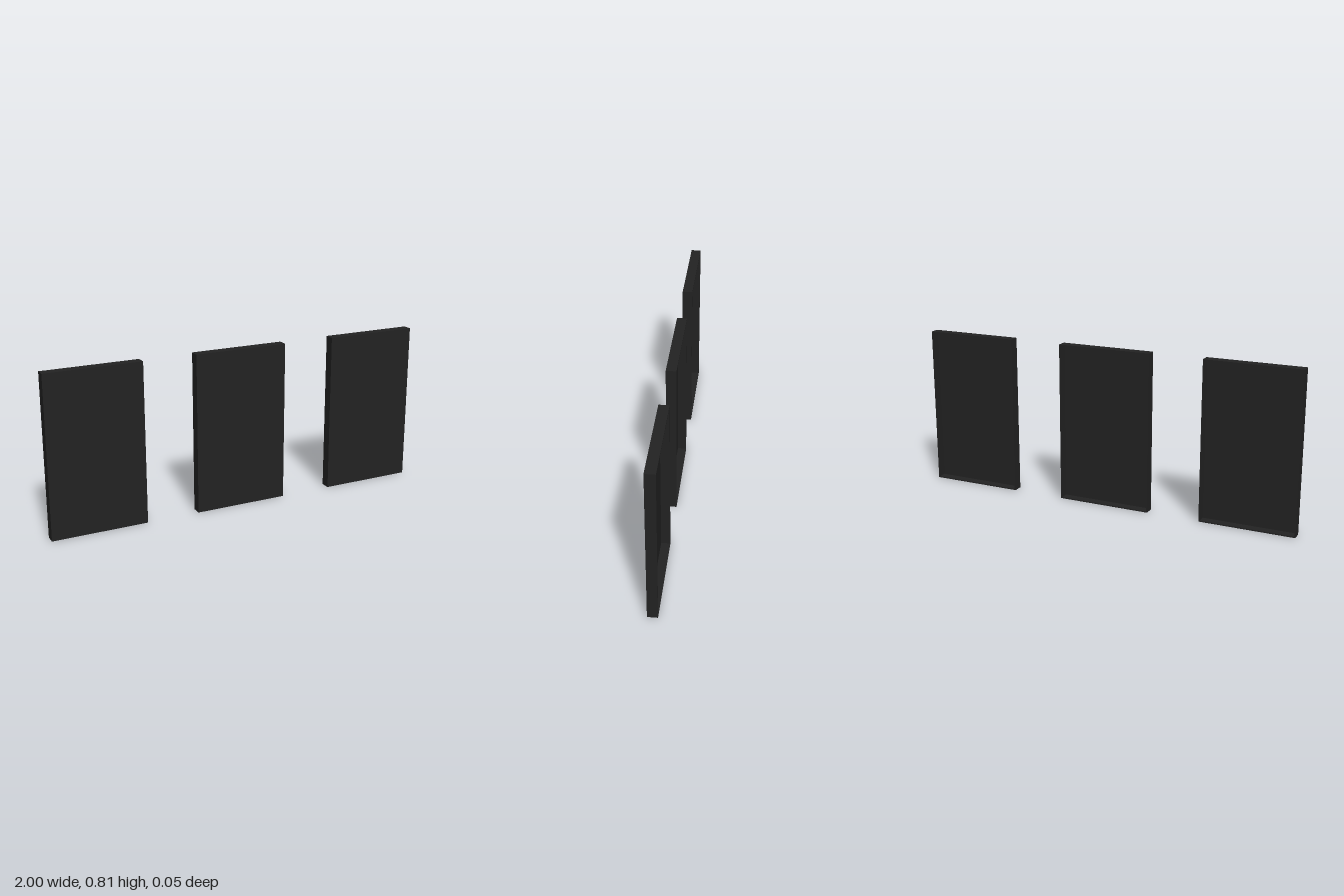
import * as THREE from 'three';

const W = 0.485, H = 0.815, D = 0.05, T = 0.006;

export function createModel() {
  const model = new THREE.Group();
  const material = new THREE.MeshStandardMaterial({ color: 0x222222 });

  const addBox = (parent, name, size, position) => {
    const mesh = new THREE.Mesh(new THREE.BoxGeometry(...size), material);
    mesh.name = name;
    mesh.position.set(...position);
    parent.add(mesh);
  };

  // Three identical shallow panels in a row, hollow and open at the back
  ['rightPanel', 'middlePanel', 'leftPanel'].forEach((name, i) => {
    const panel = new THREE.Group();
    panel.name = name;
    panel.position.x = (i - 1) * (1 - W / 2);

    // Flat front sheet
    addBox(panel, 'frontSheet', [W, H, T], [0, H / 2, D / 2 - T / 2]);

    // Thin rim running back from the sheet
    const rimDepth = D - T, rimZ = -T / 2;
    for (const s of [-1, 1]) {
      addBox(panel, s > 0 ? 'leftRim' : 'rightRim',
        [T, H, rimDepth], [s * (W - T) / 2, H / 2, rimZ]);
      addBox(panel, s > 0 ? 'topRim' : 'bottomRim',
        [W - 2 * T, T, rimDepth], [0, H / 2 + s * (H - T) / 2, rimZ]);
    }
    model.add(panel);
  });

  return model;
}
